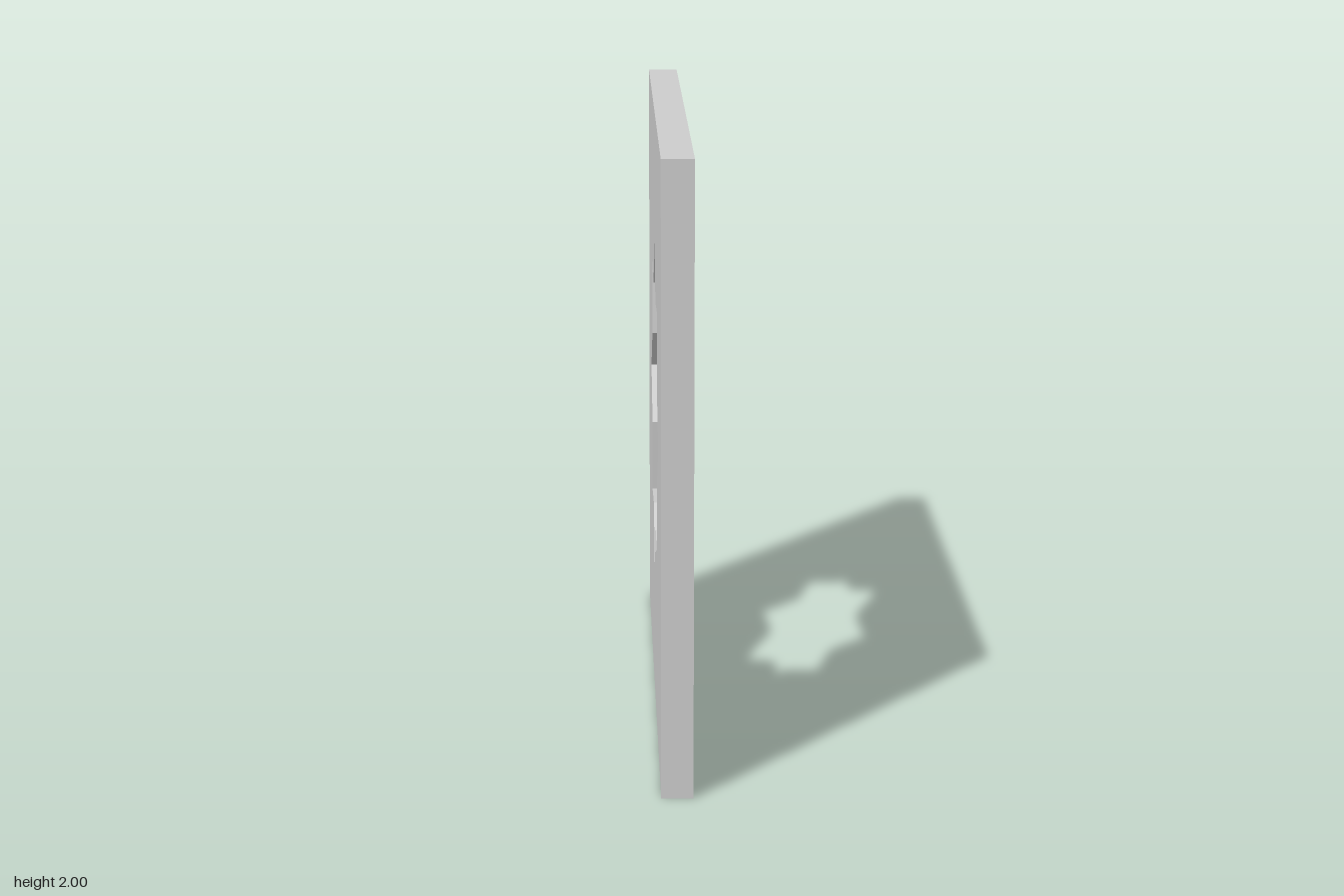
import * as THREE from 'three';

const SIZE = 2, THICKNESS = 0.1;
const STAR_POINTS = 8, STAR_OUTER = 0.582, STAR_INNER = 0.42;

// Closed star outline centred on the origin
function starPath(points, outer, inner) {
  const corners = [];
  for (let i = 0; i < points * 2; i++) {
    const r = i % 2 ? inner : outer;
    const a = (i * Math.PI) / points;
    corners.push(new THREE.Vector2(r * Math.cos(a), r * Math.sin(a)));
  }
  return new THREE.Path(corners);
}

export function createModel() {
  const group = new THREE.Group();
  group.name = 'starCutoutPanel';

  // Square panel with an eight-pointed star opening
  const h = SIZE / 2;
  const outline = new THREE.Shape([
    new THREE.Vector2(-h, -h),
    new THREE.Vector2(h, -h),
    new THREE.Vector2(h, h),
    new THREE.Vector2(-h, h),
  ]);
  outline.holes.push(starPath(STAR_POINTS, STAR_OUTER, STAR_INNER));

  // Extruded along z, then turned so the thickness runs along x
  const geometry = new THREE.ExtrudeGeometry(outline, { depth: THICKNESS, bevelEnabled: false });
  geometry.translate(0, 0, -THICKNESS / 2);
  geometry.rotateY(Math.PI / 2);
  geometry.translate(0, h, 0);

  const material = new THREE.MeshStandardMaterial({ color: 0xcccccc, flatShading: true });
  const panel = new THREE.Mesh(geometry, material);
  panel.name = 'panel';
  group.add(panel);

  return group;
}
